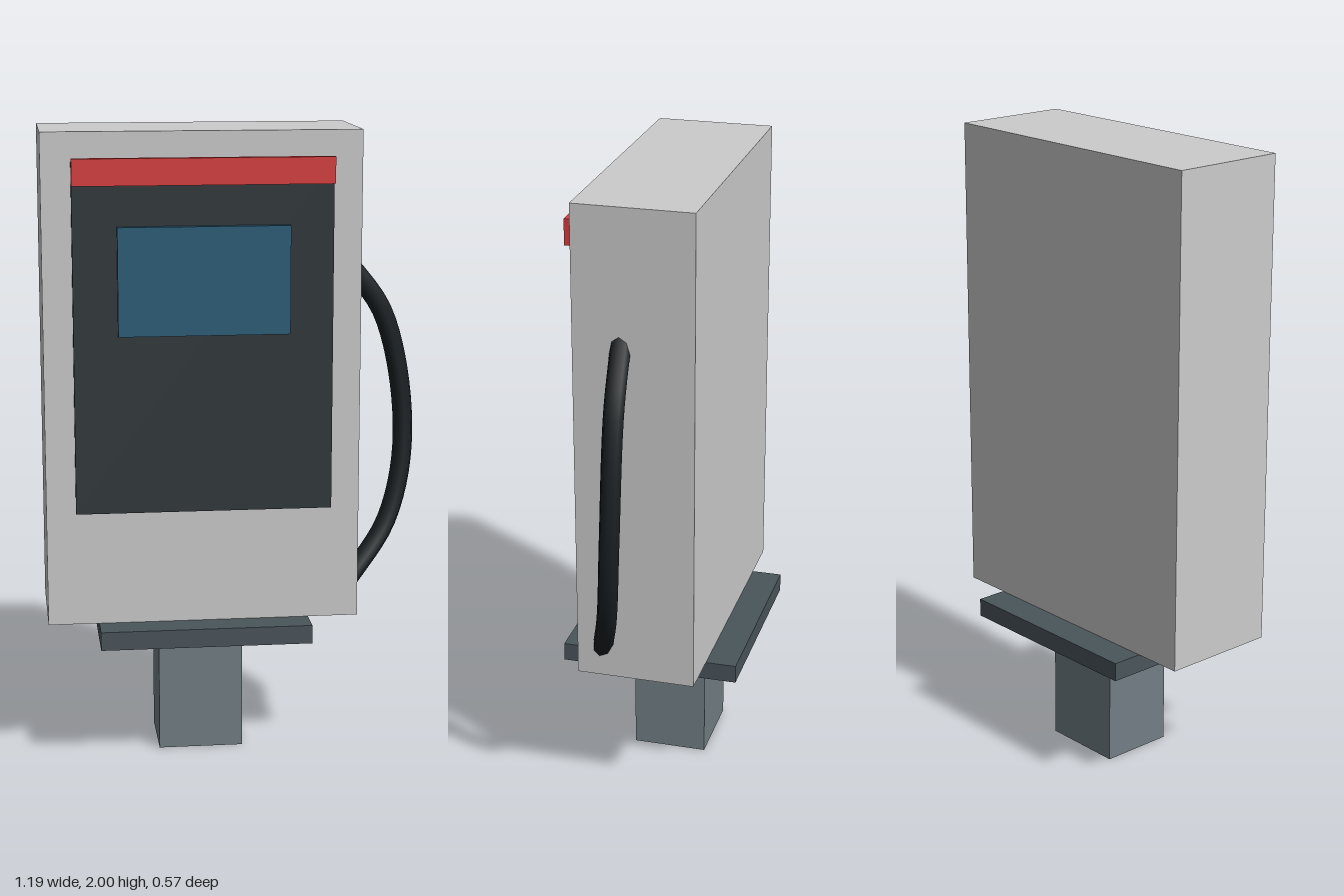
import * as THREE from 'three';

const mat = (color) => new THREE.MeshStandardMaterial({ color });

// Box given by its extents on each axis
function box(name, [x0, x1], [y0, y1], [z0, z1], color) {
  const mesh = new THREE.Mesh(new THREE.BoxGeometry(x1 - x0, y1 - y0, z1 - z0), mat(color));
  mesh.position.set((x0 + x1) / 2, (y0 + y1) / 2, (z0 + z1) / 2);
  mesh.name = name;
  return mesh;
}

export function createModel() {
  const model = new THREE.Group();
  model.name = 'wallCharger';

  // Stand: square post under a mounting plate
  model.add(box('post', [-0.243, 0.027], [0, 0.4], [-0.135, 0.105], 0x727e84));
  model.add(box('mountingPlate', [-0.438, 0.228], [0.398, 0.457], [-0.287, 0.287], 0x4a555b));

  // Cabinet
  model.add(box('cabinet', [-0.598, 0.387], [0.457, 2], [-0.189, 0.189], 0xcccccc));

  // Front panel with screen and header strip
  model.add(box('frontPanel', [-0.506, 0.296], [0.82, 1.91], [0.187, 0.212], 0x2f363a));
  model.add(box('screen', [-0.37, 0.16], [1.38, 1.715], [0.21, 0.236], 0x285d78));
  model.add(box('headerStrip', [-0.506, 0.296], [1.84, 1.922], [0.21, 0.236], 0xd93c3c));

  // Cable looping along the left side, both ends sunk into the cabinet
  const path = new THREE.CatmullRomCurve3([
    [0.36, 1.585, 0.044],
    [0.49, 1.40, 0.031],
    [0.557, 1.02, 0.029],
    [0.505, 0.74, 0.055],
    [0.36, 0.54, 0.115],
  ].map((p) => new THREE.Vector3(...p)));
  const cable = new THREE.Mesh(new THREE.TubeGeometry(path, 28, 0.032, 8, false), mat(0x1a1f22));
  cable.name = 'cable';
  model.add(cable);

  return model;
}
